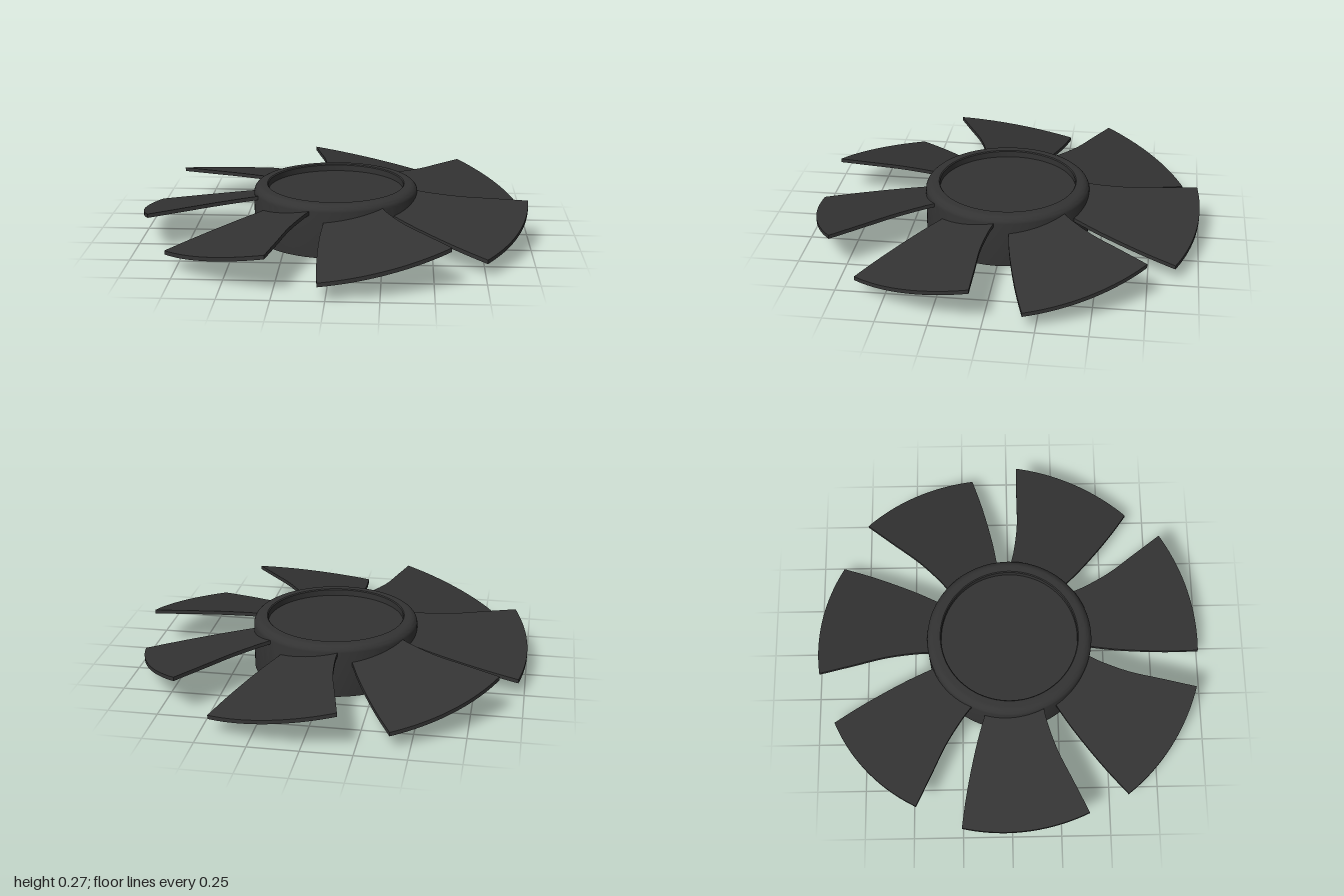
import * as THREE from 'three';
import { toCreasedNormals } from 'three/addons/utils/BufferGeometryUtils.js';

const BLADES = 7;
const STEP = (Math.PI * 2) / BLADES;

// Plan position from radius and compass angle in degrees (0 = back, clockwise seen from above)
const polar = (r, deg) => {
  const a = THREE.MathUtils.degToRad(deg) + 4 * STEP;
  return new THREE.Vector2(r * Math.sin(a), r * Math.cos(a));
};

// Solid cup-like hub: flat base, rounded rim, shallow recess on top
function hubGeometry() {
  const R = 0.426, H = 0.272, round = 0.042;
  const pts = [[0, 0], [R, 0]];
  for (let i = 0; i <= 8; i++) {
    const a = (i / 8) * Math.PI / 2;
    pts.push([R - round + round * Math.cos(a), H - round + round * Math.sin(a)]);
  }
  pts.push([0.357, H], [0.352, H - 0.005], [0.352, 0.235], [0, 0.235]);
  const profile = pts.map(([x, y]) => new THREE.Vector2(x, y));
  return toCreasedNormals(new THREE.LatheGeometry(profile, 96), 0.6);
}

// Thin flat blade with swept edges, pitched by shearing
function bladeGeometry() {
  const leading = new THREE.SplineCurve(
    [[0.41, -11], [0.5, -9], [0.65, -8.3], [0.82, -9.2], [0.998, -9.8]].map(p => polar(...p)));
  const trailing = new THREE.SplineCurve(
    [[0.998, 27.7], [0.85, 28.8], [0.7, 29.8], [0.55, 30.7], [0.41, 31]].map(p => polar(...p)));
  const outline = leading.getPoints(20);
  for (let i = 1; i < 20; i++) outline.push(polar(0.998, -9.8 + 37.5 * i / 20));
  outline.push(...trailing.getPoints(20));
  for (let i = 1; i < 8; i++) outline.push(polar(0.41, 31 - 42 * i / 8));

  const geo = new THREE.ExtrudeGeometry(new THREE.Shape(outline), { depth: 0.02, bevelEnabled: false });
  geo.rotateX(-Math.PI / 2);
  const pos = geo.attributes.position;
  for (let i = 0; i < pos.count; i++) {
    pos.setY(i, pos.getY(i) + 0.07 + 0.22 * (pos.getX(i) + 0.79));
  }
  return toCreasedNormals(geo, 0.6);
}

export function createModel() {
  const model = new THREE.Group();
  model.name = 'fanRotor';
  const material = new THREE.MeshStandardMaterial({ color: 0x333333 });

  const hub = new THREE.Mesh(hubGeometry(), material);
  hub.name = 'hub';
  model.add(hub);

  // Ring of identical blades
  const blades = new THREE.Group();
  blades.name = 'blades';
  const geo = bladeGeometry();
  for (let i = 0; i < BLADES; i++) {
    const blade = new THREE.Mesh(geo, material);
    blade.name = 'blade' + (i + 1);
    blade.rotation.y = i * STEP;
    blades.add(blade);
  }
  model.add(blades);
  model.position.x = -0.003;
  return model;
}
